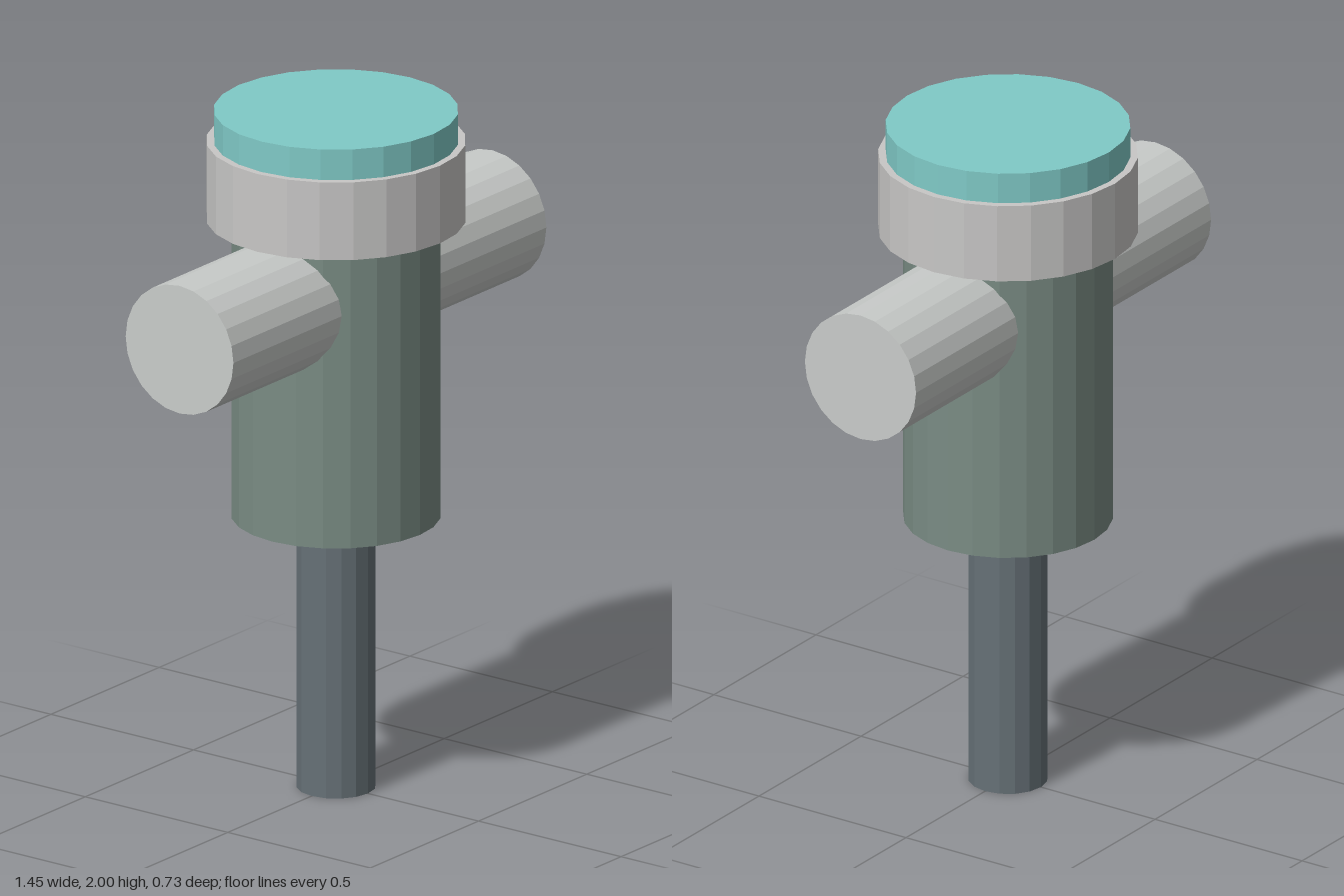
import * as THREE from 'three';

const paint = (name, color) => {
  const m = new THREE.MeshStandardMaterial({ color, flatShading: true });
  m.name = name;
  return m;
};

export function createModel() {
  const model = new THREE.Group();
  model.name = 'valve';

  const slate = paint('slate', 0x667177);
  const greyGreen = paint('greyGreen', 0x7a8c84);
  const paleGrey = paint('paleGrey', 0xc9cccA);
  const lightGrey = paint('lightGrey', 0xc8c7c6);
  const teal = paint('teal', 0x80cac7);

  // Upright faceted cylinder between two heights
  const drum = (name, radius, bottom, top, material, sides = 24) => {
    const mesh = new THREE.Mesh(
      new THREE.CylinderGeometry(radius, radius, top - bottom, sides), material);
    mesh.name = name;
    mesh.position.y = (bottom + top) / 2;
    model.add(mesh);
  };

  drum('stem', 0.112, 0, 0.805, slate, 16);
  drum('body', 0.294, 0.803, 1.69, greyGreen);
  drum('collar', 0.364, 1.68, 1.91, lightGrey);
  drum('cap', 0.343, 1.9, 2, teal);

  // Side pipes, starting inside the body
  for (const [name, side] of [['leftPipe', 1], ['rightPipe', -1]]) {
    const pipe = new THREE.Mesh(
      new THREE.CylinderGeometry(0.189, 0.189, 0.723, 24), paleGrey);
    pipe.name = name;
    pipe.rotation.z = -side * Math.PI / 2;
    pipe.position.set(side * 0.3615, 1.49, 0);
    model.add(pipe);
  }

  return model;
}
